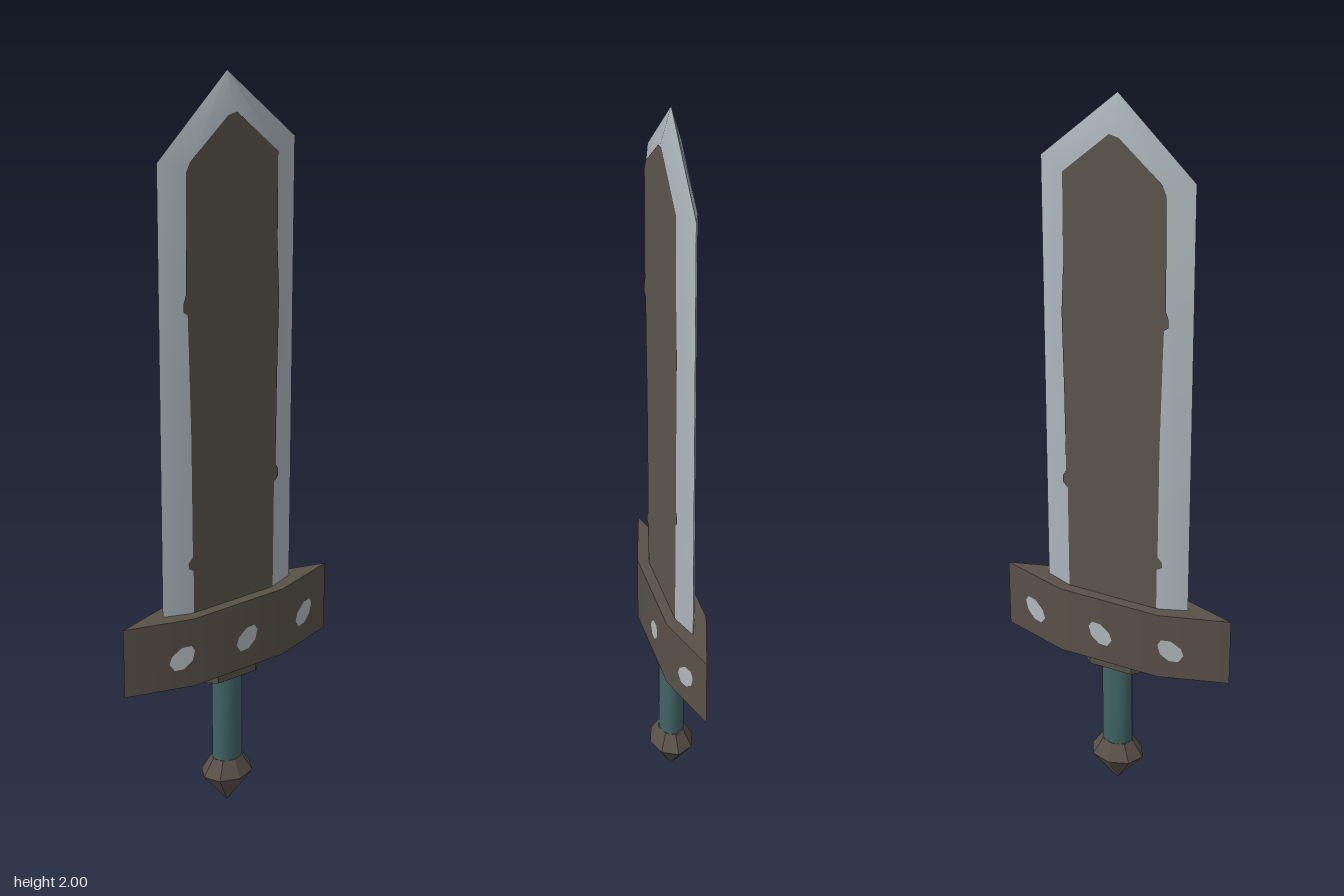
import * as THREE from 'three';
import { toCreasedNormals } from 'three/addons/utils/BufferGeometryUtils.js';
import { ConvexGeometry } from 'three/addons/geometries/ConvexGeometry.js';

const material = (name, color) => {
  const m = new THREE.MeshStandardMaterial({ color });
  m.name = name;
  return m;
};

export function createModel() {
  const group = new THREE.Group();
  const steel = material('steel', 0xaab4b9);
  const darkCore = material('dark core', 0x5b564b);
  const bronze = material('dark bronze', 0x585147);
  const teal = material('teal wrap', 0x416464);
  const paleSpot = material('pale spot', 0xb0b8ba);

  const add = (name, geometry, mat) => {
    const mesh = new THREE.Mesh(geometry, mat);
    mesh.name = name;
    group.add(mesh);
    return mesh;
  };

  // Convex solid, softened across shallow bevels
  const hull = (points) =>
    toCreasedNormals(new ConvexGeometry(points.map((p) => new THREE.Vector3(...p))), 0.5);

  // Six-sided plate: pointed at both x ends, flat at front and back
  const hexPlate = (tip, shoulder, depth, y0, y1) => {
    const points = [];
    for (const y of [y0, y1]) {
      for (const s of [-1, 1]) {
        points.push([s * tip, y, 0], [s * shoulder, y, depth], [s * shoulder, y, -depth]);
      }
    }
    return hull(points);
  };

  // Blade: sharp rim at z = 0, flat raised face on each side
  const rim = [[-0.2, 0.6], [0.2, 0.6], [0.2, 1.81], [0, 2], [-0.2, 1.81]];
  const face = [[-0.13, 0.6], [0.13, 0.6], [0.13, 1.79], [0, 1.91], [-0.13, 1.79]];
  add('blade', hull([
    ...rim.map(([x, y]) => [x, y, 0]),
    ...face.map(([x, y]) => [x, y, 0.025]),
    ...face.map(([x, y]) => [x, y, -0.025]),
  ]), steel);

  // Thin painted sheet on the front (side 1) or back (side -1)
  const sheet = (points, side, x0, y0, depthAt) => {
    const g = new THREE.ShapeGeometry(
      new THREE.Shape(points.map(([x, y]) => new THREE.Vector2(x, y))));
    g.translate(x0, y0, 0);
    const pos = g.attributes.position;
    for (let i = 0; i < pos.count; i++) pos.setZ(i, side * depthAt(pos.getX(i)));
    if (side < 0) g.index.array.reverse();
    g.computeVertexNormals();
    return g;
  };

  // Worn, uneven outline of the dark core
  const core = [
    [-0.122, 0.61], [0.127, 0.61], [0.128, 0.92], [0.141, 0.935], [0.141, 0.955], [0.132, 0.97],
    [0.134, 1.2], [0.138, 1.42], [0.132, 1.55], [0.131, 1.79], [0.01, 1.905], [-0.015, 1.9],
    [-0.125, 1.805], [-0.136, 1.78], [-0.139, 1.48], [-0.146, 1.46], [-0.146, 1.44],
    [-0.134, 1.43], [-0.132, 1.36], [-0.126, 1.1], [-0.124, 0.78], [-0.137, 0.765],
    [-0.137, 0.75], [-0.122, 0.74],
  ];
  // Slanted pale spots on the guard
  const spot = [
    [-0.033, -0.012], [-0.02, -0.033], [0.004, -0.032], [0.026, -0.012],
    [0.033, 0.016], [0.024, 0.032], [0, 0.031], [-0.026, 0.01],
  ];
  const guardDepth = (x) => 0.053 * Math.min(1, (0.32 - Math.abs(x)) / 0.18) + 0.0015;
  for (const side of [1, -1]) {
    const label = side > 0 ? 'front' : 'back';
    add(label + 'BladeCore', sheet(core, side, 0, 0, () => 0.0262), darkCore);
    [-0.172, 0.025, 0.228].forEach((x, i) =>
      add(label + 'GuardSpot' + (i + 1), sheet(spot, side, x, 0.512, guardDepth), paleSpot));
  }

  // Guard and the smaller collar beneath it
  add('guard', hexPlate(0.32, 0.14, 0.053, 0.425, 0.62), bronze);
  add('collar', hexPlate(0.107, 0.06, 0.045, 0.4, 0.43), bronze);

  // Grip and faceted pommel, both flattened front to back
  const round = (name, top, bottom, y0, y1, sides, mat, crease) => {
    const g = new THREE.CylinderGeometry(top, bottom, y1 - y0, sides);
    g.translate(0, (y0 + y1) / 2, 0);
    g.scale(1, 1, 0.8);
    return add(name, toCreasedNormals(g, crease), mat);
  };
  round('grip', 0.042, 0.042, 0.13, 0.41, 12, teal, 0.9);
  round('pommelTop', 0.045, 0.075, 0.095, 0.142, 8, bronze, 0.3);
  round('pommelPoint', 0.075, 0.001, 0, 0.095, 8, bronze, 0.3);

  return group;
}
